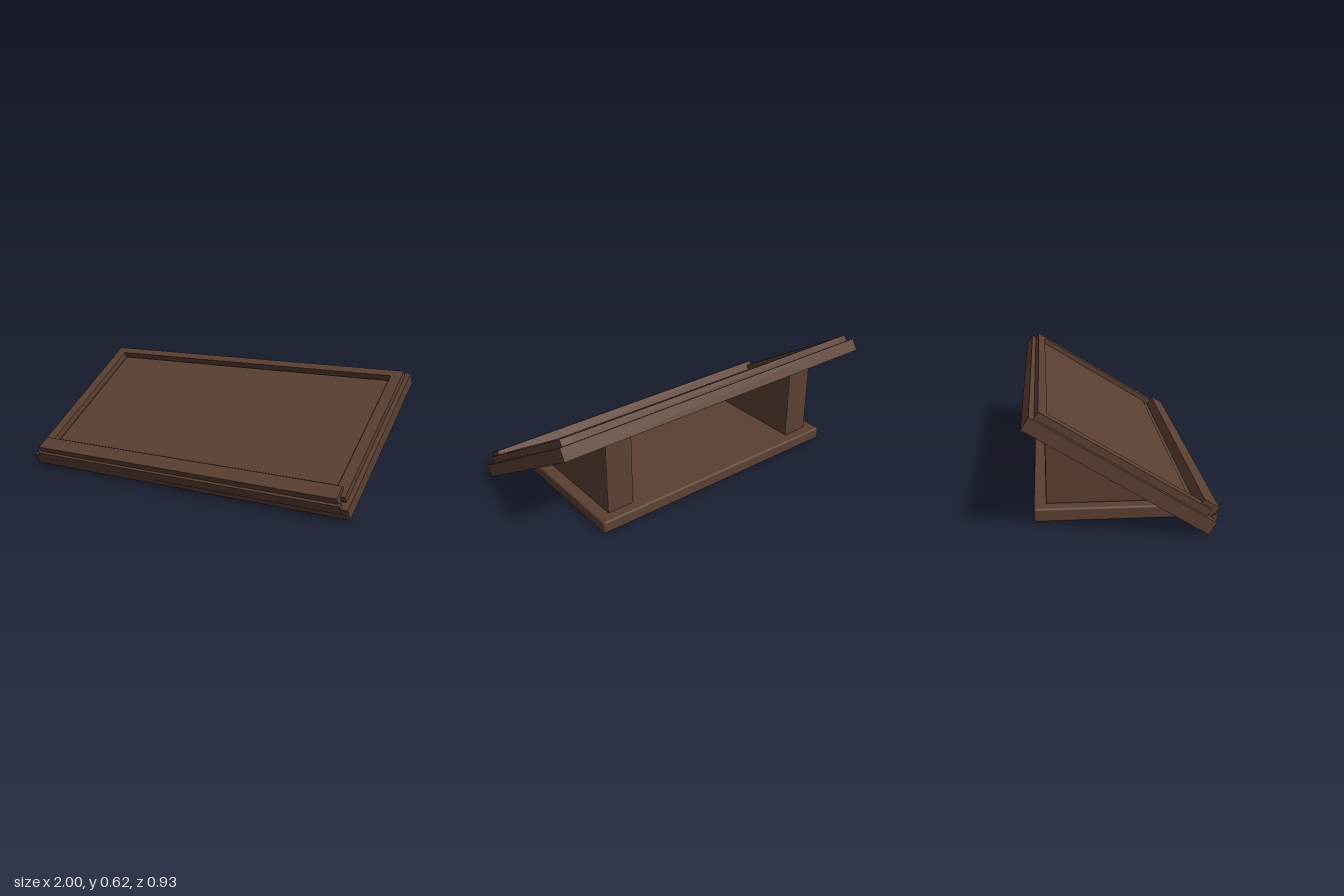
import * as THREE from 'three';
import { RoundedBoxGeometry } from 'three/addons/geometries/RoundedBoxGeometry.js';

export function createModel() {
  const model = new THREE.Group();
  model.name = 'slopedStand';
  const wood = new THREE.MeshStandardMaterial({ color: 0x5c4033 });
  wood.name = 'darkWood';

  const add = (parent, name, geometry) => {
    const mesh = new THREE.Mesh(geometry, wood);
    mesh.name = name;
    parent.add(mesh);
    return mesh;
  };

  // Flat base with softened edges
  add(model, 'base', new RoundedBoxGeometry(1.56, 0.07, 0.74, 2, 0.012)).position.set(0, 0.035, -0.05);

  // Two wedge supports under the desk, profile drawn as (-z, y)
  const bevel = 0.008;
  const profile = new THREE.Shape([
    new THREE.Vector2(-0.265, 0.068),
    new THREE.Vector2(0.36, 0.068),
    new THREE.Vector2(0.36, 0.482),
    new THREE.Vector2(-0.265, 0.094),
  ]);
  const wedge = new THREE.ExtrudeGeometry(profile, {
    depth: 0.16 - 2 * bevel, bevelEnabled: true, bevelSize: bevel,
    bevelThickness: bevel, bevelOffset: -bevel, bevelSegments: 2,
  });
  wedge.translate(0, 0, -0.08 + bevel);
  wedge.rotateY(Math.PI / 2);
  for (const side of [-1, 1]) {
    add(model, side > 0 ? 'leftSupport' : 'rightSupport', wedge).position.x = side * 0.635;
  }

  // Sloped desk: u runs up the slope from the front edge, n rises from the underside
  const desk = new THREE.Group();
  desk.name = 'slopedDesk';
  desk.position.set(0, 0.005, 0.405);
  desk.rotation.x = 0.555;
  model.add(desk);

  const slab = (name, x0, x1, u0, u1, n0, n1) => {
    const mesh = add(desk, name, new THREE.BoxGeometry(x1 - x0, n1 - n0, u1 - u0));
    mesh.position.set((x0 + x1) / 2, (n0 + n1) / 2, -(u0 + u1) / 2);
  };

  slab('board', -1, 1, 0, 1.024, 0, 0.07);
  slab('raisedPanel', -0.9, 0.9, 0.139, 0.937, 0.069, 0.08);

  // Raised border on the sides and top
  slab('rightRail', -0.975, -0.915, 0.048, 0.996, 0.069, 0.107);
  slab('leftRail', 0.915, 0.975, 0.048, 0.996, 0.069, 0.107);
  slab('topRail', -0.916, 0.916, 0.948, 0.996, 0.069, 0.107);

  // Book ledge and the strip along the front edge
  slab('ledge', -0.95, 0.95, 0.011, 0.097, 0.069, 0.129);
  slab('frontStrip', -0.963, 0.963, -0.004, 0.02, 0.036, 0.093);

  return model;
}
